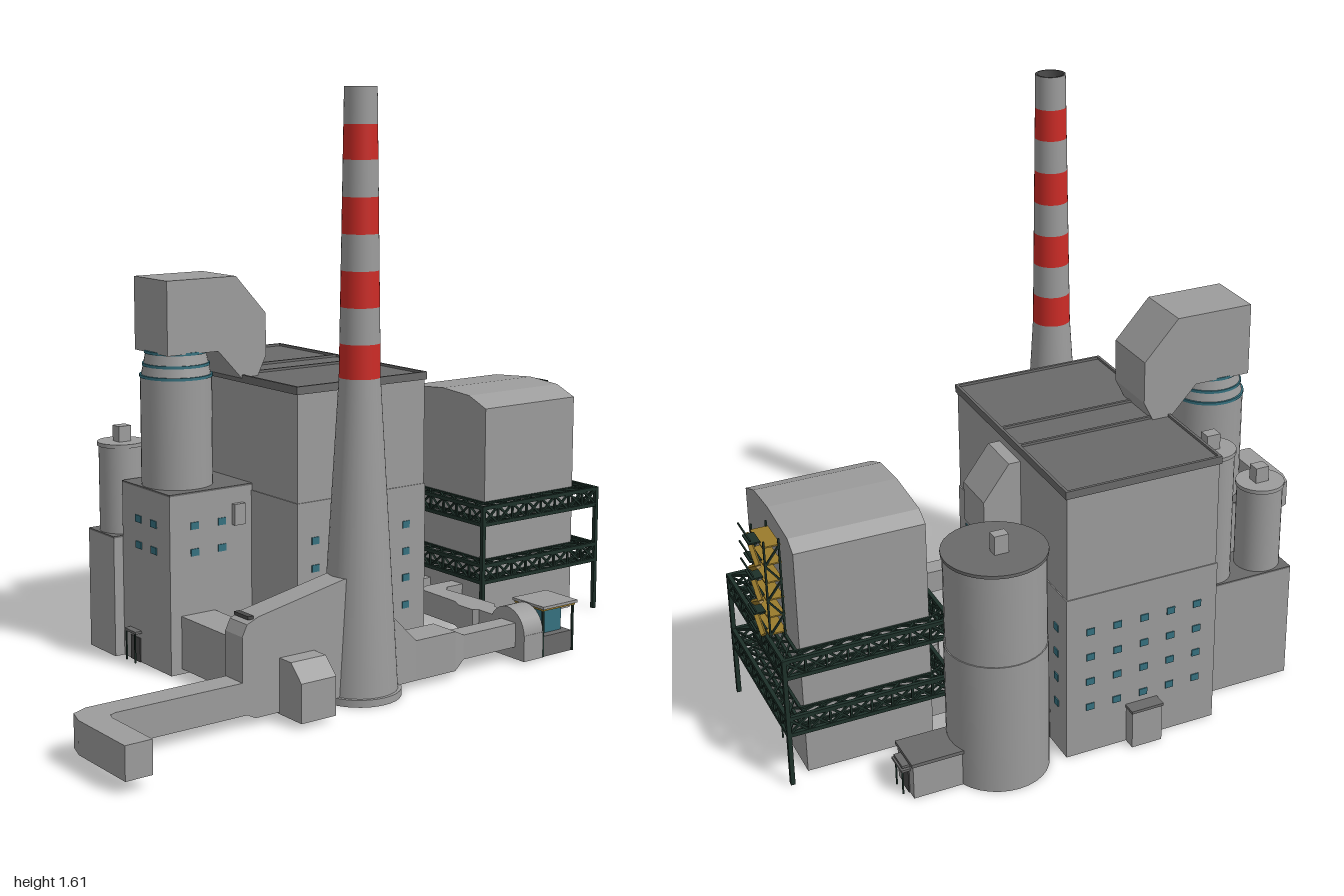
import * as THREE from 'three';
import { mergeGeometries } from 'three/addons/utils/BufferGeometryUtils.js';

const mat = (name, color, side = THREE.FrontSide) => {
  const m = new THREE.MeshStandardMaterial({ color, side });
  m.name = name;
  return m;
};

export function createModel() {
  const root = new THREE.Group();
  root.name = 'powerPlant';
  const wall = mat('concreteGrey', 0x9c9c9c);
  const roof = mat('roofGrey', 0x6a6a6a);
  const red = mat('warningRed', 0xcc2b26);
  const teal = mat('windowTeal', 0x35717f);
  const steel = mat('darkGreenSteel', 0x1d3029);
  const yellow = mat('railYellow', 0x9a7b2c);
  const dark = mat('linerDark', 0x4a4a4a, THREE.DoubleSide);

  const add = (name, geo, m) => {
    const mesh = new THREE.Mesh(geo, m);
    mesh.name = name;
    root.add(mesh);
    return mesh;
  };
  // Box and cylinder geometries given by their limits
  const boxG = (x0, x1, y0, y1, z0, z1) => new THREE.BoxGeometry(x1 - x0, y1 - y0, z1 - z0)
    .translate((x0 + x1) / 2, (y0 + y1) / 2, (z0 + z1) / 2);
  const box = (name, m, ...lim) => add(name, boxG(...lim), m);
  const cyl = (name, m, x, z, y0, y1, r0, r1 = r0, open = false) =>
    add(name, new THREE.CylinderGeometry(r1, r0, y1 - y0, 32, 1, open).translate(x, (y0 + y1) / 2, z), m);
  const shape = pts => new THREE.Shape(pts.map(p => new THREE.Vector2(...p)));
  const extrude = (pts, depth) => new THREE.ExtrudeGeometry(shape(pts), { depth, bevelEnabled: false });
  // Side profile in (z, y) and floor plan in (x, z)
  const side = (name, m, pts, x0, x1) =>
    add(name, extrude(pts, x1 - x0).rotateY(-Math.PI / 2).translate(x1, 0, 0), m);
  const plan = (name, m, pts, y0, y1) =>
    add(name, extrude(pts.map(([x, z]) => [x, -z]), y1 - y0).rotateX(-Math.PI / 2).translate(0, y0, 0), m);
  // Straight bar between two points
  const bar = (a, b, t = 0.006) => {
    const p = new THREE.Vector3(...a), q = new THREE.Vector3(...b), d = q.clone().sub(p);
    const turn = new THREE.Quaternion().setFromUnitVectors(new THREE.Vector3(0, 0, 1), d.clone().normalize());
    const mid = p.add(q).multiplyScalar(0.5);
    return new THREE.BoxGeometry(t, t, d.length()).applyQuaternion(turn).translate(mid.x, mid.y, mid.z);
  };
  const merge = (name, list, m) => add(name, mergeGeometries(list), m);

  // Boiler building with a step, parapet and roof ridges
  box('boilerHallLower', wall, -0.55, 0.16, 0, 0.49, -0.27, 0.18);
  box('boilerHallUpper', wall, -0.547, 0.157, 0.49, 0.795, -0.267, 0.177);
  box('boilerHallRoof', roof, -0.552, 0.162, 0.79, 0.805, -0.272, 0.182);
  const rims = [[-0.552, 0.162, -0.272, -0.264], [-0.552, 0.162, 0.174, 0.182],
    [-0.552, -0.544, -0.272, 0.182], [0.154, 0.162, -0.272, 0.182],
    [-0.262, -0.254, -0.27, 0.18], [-0.146, -0.138, -0.27, 0.18]];
  merge('roofParapet', rims.map(([a, b, c, d]) => boxG(a, b, 0.8, 0.812, c, d)), roof);

  // Windows of the boiler building
  const panes = [];
  for (const y of [0.145, 0.225, 0.302, 0.38]) {
    for (const z of [-0.2, -0.12, -0.04, 0.04, 0.12]) {
      for (const x of [-0.55, 0.16]) panes.push(boxG(x - 0.003, x + 0.003, y - 0.01, y + 0.01, z - 0.012, z + 0.012));
    }
    for (const x of [-0.49, -0.41, -0.33, -0.06, 0.02, 0.1]) panes.push(boxG(x - 0.012, x + 0.012, y - 0.01, y + 0.01, -0.273, -0.267));
  }
  // Windows of the front tower
  for (const y of [0.34, 0.415]) {
    for (const x of [-0.222, -0.142]) panes.push(boxG(x - 0.015, x + 0.015, y - 0.01, y + 0.01, 0.447, 0.453));
    for (const z of [0.28, 0.37]) panes.push(boxG(-0.063, -0.057, y - 0.01, y + 0.01, z - 0.013, z + 0.013));
  }
  merge('windows', panes, teal);

  // Coal chute and conveyor behind the boiler building
  side('coalChute', wall, [[-0.26, 0.5], [-0.375, 0.55], [-0.375, 0.665], [-0.3, 0.765], [-0.26, 0.765]], -0.265, -0.13);
  box('conveyor', wall, -0.24, -0.15, 0.02, 0.1, -0.56, -0.26);

  // Front tower with gas cleaner and hood
  box('frontTower', wall, -0.31, -0.06, 0, 0.505, 0.17, 0.45);
  box('frontTowerRoof', roof, -0.31, -0.06, 0.505, 0.51, 0.17, 0.45);
  cyl('gasCleaner', wall, -0.185, 0.345, 0.51, 0.815, 0.1);
  cyl('gasCleanerNeck', wall, -0.185, 0.345, 0.815, 0.885, 0.098, 0.084);
  for (const [y, r] of [[0.818, 0.102], [0.85, 0.094], [0.885, 0.088]]) {
    cyl('neckRing', teal, -0.185, 0.345, y - 0.004, y + 0.004, r);
  }
  side('exhaustHood', wall, [[0.425, 0.885], [0.425, 1.09], [0.2, 1.09], [0.1, 0.98], [0.1, 0.86],
    [0.13, 0.8], [0.18, 0.8], [0.26, 0.885]], -0.27, -0.1);

  // Twin silos on their base block
  box('siloBase', wall, -0.45, -0.31, 0, 0.345, 0.17, 0.48);
  box('siloBaseRoof', roof, -0.45, -0.31, 0.345, 0.35, 0.17, 0.48);
  for (const [z, top] of [[0.25, 0.74], [0.41, 0.605]]) {
    cyl('frontSilo', wall, -0.38, z, 0.35, top, 0.064);
    cyl('frontSiloRim', wall, -0.38, z, top - 0.008, top + 0.003, 0.068);
    box('frontSiloVent', wall, -0.395, -0.36, top, top + 0.048, z - 0.022, z + 0.018);
  }

  // Large rear silo with pump house
  cyl('rearSiloLower', wall, -0.48, -0.44, 0, 0.385, 0.138);
  cyl('rearSiloUpper', wall, -0.48, -0.44, 0.385, 0.65, 0.135);
  cyl('rearSiloRoof', roof, -0.48, -0.44, 0.648, 0.657, 0.14);
  box('rearSiloVent', wall, -0.515, -0.485, 0.65, 0.71, -0.455, -0.415);
  box('pumpHouse', wall, -0.535, -0.425, 0, 0.1, -0.705, -0.56);
  box('pumpHouseRoof', roof, -0.54, -0.42, 0.1, 0.11, -0.71, -0.56);
  box('pumpHousePorch', roof, -0.515, -0.445, 0.075, 0.082, -0.73, -0.7);

  // Entrances: framed door with a small canopy
  const door = (x, z, dx, dz) => {
    const w = dz ? 0.025 : 0.002, d = dz ? 0.002 : 0.025;
    box('door', dark, x - w, x + w, 0, 0.07, z - d, z + d);
    box('doorCanopy', roof, x - (dz ? 0.03 : 0.02), x + (dz ? 0.03 : 0.02), 0.085, 0.092,
      z - (dz ? 0.02 : 0.03), z + (dz ? 0.02 : 0.03));
    for (const s of [-0.023, 0.023]) {
      const px = dz ? x + s : x + dx * 0.017, pz = dz ? z + dz * 0.017 : z + s;
      box('canopyPost', steel, px - 0.002, px + 0.002, 0, 0.085, pz - 0.002, pz + 0.002);
    }
  };
  door(-0.245, 0.451, 0, 1);
  door(-0.48, -0.706, 0, -1);
  door(-0.15, -0.911, 0, -1);
  door(-0.42, -0.271, 0, -1);
  box('sideAnnex', wall, -0.587, -0.55, 0, 0.11, -0.09, 0);
  box('sideAnnexRoof', roof, -0.59, -0.55, 0.11, 0.118, -0.093, 0.003);

  // Precipitator house with a faceted roof
  add('filterHouse', extrude([[-0.3, 0], [0.095, 0], [0.095, 0.665], [0.02, 0.695], [-0.1, 0.703],
    [-0.26, 0.69], [-0.3, 0.665]], 0.36).translate(0, 0, -0.915), wall);

  // Truss gallery round the house
  const truss = [];
  const X = [-0.335, 0.143], Z = [-0.97, -0.508], inX = [-0.302, 0.097], inZ = [-0.925, -0.553];
  const lerp = THREE.MathUtils.lerp, n = 8;
  const ring = (xs, zs) => [[xs[0], zs[0]], [xs[1], zs[0]], [xs[1], zs[1]], [xs[0], zs[1]]];
  const outer = ring(X, Z), inner = ring(inX, inZ);
  for (const [lo, hi] of [[0.155, 0.205], [0.33, 0.38]]) {
    for (let s = 0; s < 4; s++) {
      const a = outer[s], b = outer[(s + 1) % 4], c = inner[s], d = inner[(s + 1) % 4];
      const at = (p, q, t, y) => [lerp(p[0], q[0], t), y, lerp(p[1], q[1], t)];
      for (const y of [lo, hi]) truss.push(bar(at(a, b, 0, y), at(a, b, 1, y), 0.011), bar(at(c, d, 0, y), at(c, d, 1, y), 0.008));
      for (let i = 0; i < n; i++) {
        const t = i / n, u = (i + 1) / n;
        truss.push(bar(at(a, b, t, lo), at(a, b, u, hi)), bar(at(a, b, t, hi), at(a, b, u, lo)),
          bar(at(a, b, t, lo), at(a, b, t, hi)));
        for (const y of [lo, hi]) truss.push(bar(at(a, b, t, y), at(c, d, u, y), 0.005), bar(at(c, d, t, y), at(a, b, u, y), 0.005));
      }
    }
  }
  for (const [x, z] of outer) truss.push(bar([x, 0, z], [x, 0.385, z], 0.012));
  merge('trussGallery', truss, steel);

  // Zigzag stair tower on the back of the house
  const frame = [], treads = [];
  for (const x of [-0.215, -0.11]) for (const z of [-0.925, -0.965]) frame.push(bar([x, 0.38, z], [x, 0.67, z], 0.005));
  for (let i = 0; i < 6; i++) {
    const y = 0.39 + i * 0.052, flip = i % 2, a = flip ? -0.12 : -0.205, b = flip ? -0.205 : -0.12;
    treads.push(boxG(-0.215, -0.11, y, y + 0.004, -0.968, -0.92));
    frame.push(boxG(-0.19, -0.135, y + 0.005, y + 0.009, -0.997, -0.965));
    frame.push(bar([-0.215, y + 0.03, -0.998], [-0.11, y + 0.03, -0.998], 0.004));
    if (i < 5) {
      treads.push(bar([a, y, -0.98], [b, y + 0.052, -0.98], 0.012));
      for (const x of [-0.215, -0.11]) frame.push(bar([x, y, flip ? -0.925 : -0.965], [x, y + 0.052, flip ? -0.965 : -0.925], 0.005));
    }
  }
  merge('stairFrame', frame, steel);
  merge('stairTreads', treads, yellow);

  // Chimney with red bands
  const cx = 0.362, cz = 0.125;
  const rad = y => y < 0.86 ? lerp(0.107, 0.055, y / 0.86) : lerp(0.055, 0.043, (y - 0.86) / 0.75);
  const cuts = [0, 0.86, 0.95, 1.045, 1.14, 1.235, 1.33, 1.425, 1.515, 1.61];
  for (let i = 0; i < cuts.length - 1; i++) {
    cyl(i % 2 ? 'chimneyRedBand' : 'chimneyShaft', i % 2 ? red : wall, cx, cz, cuts[i], cuts[i + 1],
      rad(cuts[i]), rad(cuts[i + 1]), true);
  }
  const liner = [[0.043, 1.61], [0.036, 1.61], [0.036, 1.4], [0, 1.4]].map(p => new THREE.Vector2(...p));
  add('chimneyLiner', new THREE.LatheGeometry(liner, 32).translate(cx, 0, cz), dark);
  cyl('chimneyFoot', wall, cx, cz, 0, 0.02, 0.115);

  // Flue from the front tower
  add('crossFlue', extrude([[-0.07, 0.015], [0.5, 0.015], [0.5, 0.12], [0.455, 0.165], [-0.07, 0.165]], 0.11)
    .translate(0, 0, 0.305), wall);
  // Riser into the chimney and the long intake duct
  side('chimneyRiser', wall, [[0.12, 0.02], [0.49, 0.02], [0.53, 0.04], [0.53, 0.24], [0.515, 0.27],
    [0.48, 0.285], [0.21, 0.338], [0.12, 0.338]], 0.328, 0.405);
  box('riserGrating', dark, 0.335, 0.398, 0.279, 0.288, 0.49, 0.507);
  plan('intakeDuct', wall, [[0.33, 0.5], [0.405, 0.5], [0.405, 0.9], [0.412, 0.918], [0.43, 0.925],
    [0.615, 0.925], [0.615, 1], [0.4, 1], [0.35, 0.985], [0.33, 0.94]], 0.033, 0.12);

  // Tapered duct from the chimney to the fan: z, half width, bottom, top
  const stations = [[-0.41, 0.03, 0.04, 0.11], [-0.215, 0.03, 0.04, 0.11], [-0.17, 0.048, 0.02, 0.132],
    [-0.03, 0.048, 0.02, 0.132], [0.07, 0.05, 0.02, 0.23]];
  for (let i = 0; i < stations.length - 1; i++) {
    const g = new THREE.BoxGeometry(1, 1, 1).toNonIndexed(), p = g.attributes.position;
    for (let k = 0; k < p.count; k++) {
      const [z, w, y0, y1] = stations[p.getZ(k) > 0 ? i + 1 : i];
      p.setXYZ(k, cx + 0.006 + Math.sign(p.getX(k)) * w, p.getY(k) > 0 ? y1 : y0, z);
    }
    g.computeVertexNormals();
    add('fanDuct', g, wall);
  }
  // Draught fan and the curved duct to the house
  add('draughtFan', new THREE.CylinderGeometry(0.072, 0.072, 0.072, 28).rotateX(Math.PI / 2).translate(cx, 0.078, -0.444), wall);
  box('fanCasing', wall, 0.29, 0.435, 0.005, 0.08, -0.48, -0.408);
  plan('houseDuct', wall, [[-0.05, -0.56], [-0.05, -0.46], [-0.04, -0.43], [-0.01, -0.415], [0.13, -0.412],
    [0.17, -0.395], [0.23, -0.395], [0.24, -0.41], [0.31, -0.41], [0.31, -0.468], [0.24, -0.47], [0.22, -0.488],
    [0.13, -0.485], [0.02, -0.475], [0, -0.495], [0, -0.56]], 0.04, 0.112);

  // Motor under its canopy
  box('motorBase', roof, 0.31, 0.42, 0, 0.06, -0.605, -0.49);
  box('motor', teal, 0.335, 0.395, 0.06, 0.128, -0.587, -0.515);
  box('motorShaft', steel, 0.358, 0.37, 0.075, 0.087, -0.52, -0.475);
  box('motorCanopy', wall, 0.3, 0.43, 0.142, 0.15, -0.618, -0.485);
  box('canopyFrame', yellow, 0.305, 0.425, 0.136, 0.142, -0.614, -0.489);
  const posts = [];
  for (const x of [0.31, 0.42]) for (const z of [-0.608, -0.493]) posts.push(bar([x, 0, z], [x, 0.138, z], 0.006));
  merge('canopyPosts', posts, steel);

  // Small vents beside the front tower
  box('towerVentLeft', wall, -0.062, -0.045, 0.4, 0.46, 0.21, 0.245);
  return root;
}
